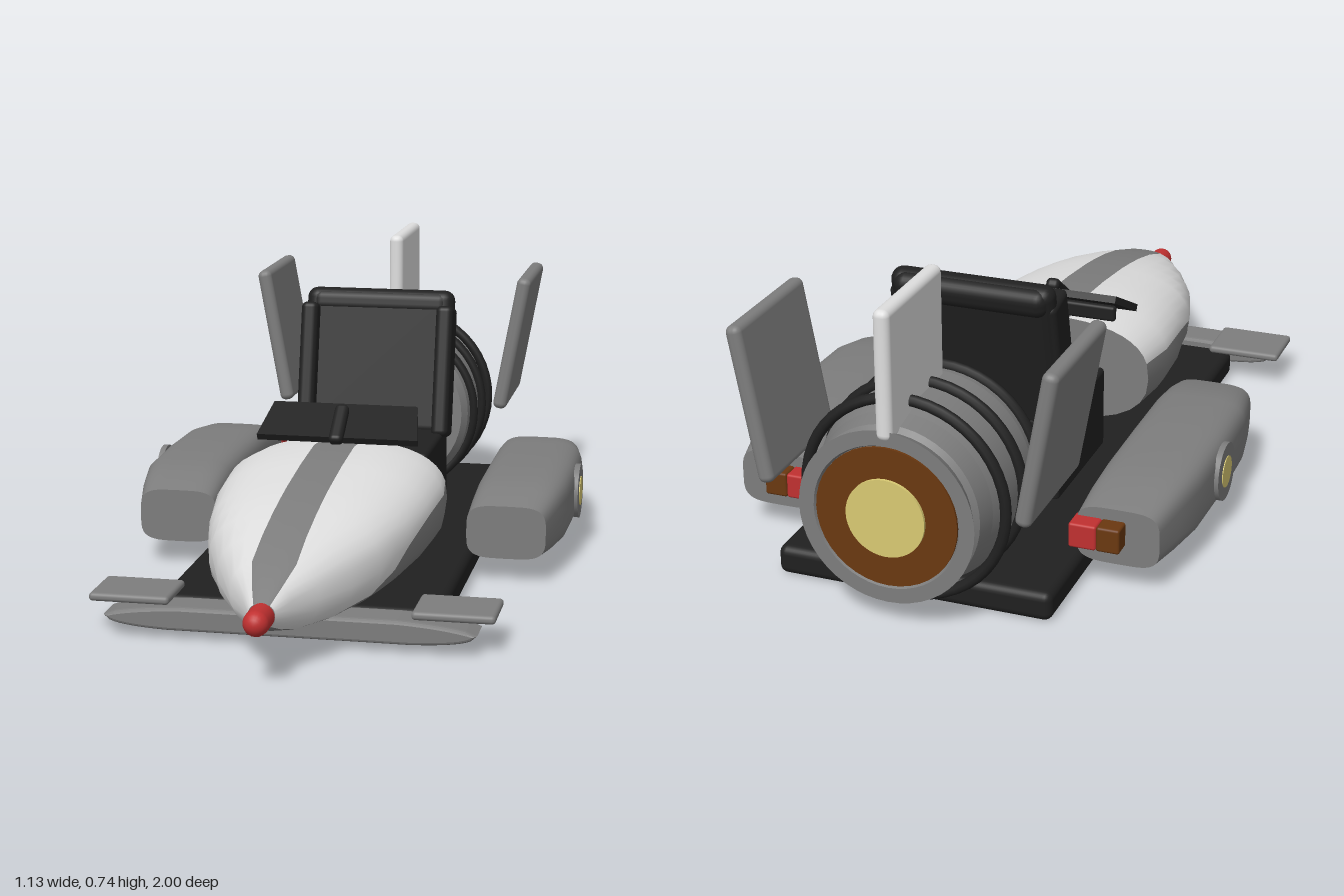
import * as THREE from 'three';
import { RoundedBoxGeometry } from 'three/addons/geometries/RoundedBoxGeometry.js';

const mat = (name, color, side = THREE.FrontSide) => {
  const m = new THREE.MeshStandardMaterial({ color, side });
  m.name = name;
  return m;
};

// Point on a superellipse: 2 is round, higher is boxier
function superPoint(cx, cy, hx, hy, n, a) {
  const p = (v) => Math.sign(v) * Math.abs(v) ** (2 / n);
  return [cx + hx * p(Math.cos(a)), cy + hy * p(Math.sin(a))];
}

// Skin over closed rings, front to back, with flat caps and one group per column
function loft(rings, columnMaterial = () => 0) {
  const pos = [], idx = [], n = rings[0].length;
  const geo = new THREE.BufferGeometry();
  rings.forEach((r) => r.forEach((p) => pos.push(...p)));
  for (let j = 0; j < n; j++) {
    const k = (j + 1) % n, start = idx.length;
    for (let i = 0; i < rings.length - 1; i++) {
      const a = i * n, b = a + n;
      idx.push(a + j, b + j, a + k, a + k, b + j, b + k);
    }
    geo.addGroup(start, idx.length - start, columnMaterial(j));
  }
  const capStart = idx.length;
  [rings[0], rings[rings.length - 1]].forEach((ring, back) => {
    const base = pos.length / 3;
    ring.forEach((p) => pos.push(...p));
    for (let j = 1; j < n - 1; j++) {
      if (back) idx.push(base, base + j + 1, base + j);
      else idx.push(base, base + j, base + j + 1);
    }
  });
  geo.addGroup(capStart, idx.length - capStart, 0);
  geo.setAttribute('position', new THREE.Float32BufferAttribute(pos, 3));
  geo.setIndex(idx);
  geo.computeVertexNormals();
  return geo;
}

export function createModel() {
  const model = new THREE.Group();
  const white = mat('white', 0xdedede), grey = mat('grey', 0x7d7d7d);
  const black = mat('black', 0x202020), red = mat('red', 0xc03030);
  const cream = mat('cream', 0xd8c972), brown = mat('brown', 0x6a3810);

  const add = (name, geo, material, x = 0, y = 0, z = 0, parent = model) => {
    const m = new THREE.Mesh(geo, material);
    m.name = name;
    m.position.set(x, y, z);
    parent.add(m);
    return m;
  };
  const box = (name, material, w, h, d, x, y, z, r = 0.01, parent = model) =>
    add(name, new RoundedBoxGeometry(w, h, d, 3, r), material, x, y, z, parent);
  const cylZ = (r1, r2, len, seg = 40) => new THREE.CylinderGeometry(r1, r2, len, seg).rotateX(Math.PI / 2);

  // Floor
  box('floor', black, 0.66, 0.07, 1.44, 0, 0.037, -0.15, 0.02);

  // Nose: z, half width, bottom, top, height of paint line
  const noseRows = [
    [0.92, 0.03, 0.12, 0.175, 0.125], [0.87, 0.055, 0.10, 0.205, 0.105],
    [0.8, 0.10, 0.08, 0.237, 0.085], [0.7, 0.155, 0.066, 0.267, 0.085],
    [0.6, 0.20, 0.062, 0.29, 0.11], [0.525, 0.222, 0.06, 0.304, 0.15],
    [0.45, 0.24, 0.06, 0.316, 0.19], [0.3, 0.265, 0.06, 0.334, 0.225],
    [0.15, 0.275, 0.06, 0.346, 0.235], [0.03, 0.262, 0.065, 0.336, 0.24],
  ];
  const N = 2.5, S = 8;
  const noseRings = noseRows.map(([z, hx, y0, y1, line]) => {
    const cy = (y0 + y1) / 2, hy = (y1 - y0) / 2, t = (line - cy) / hy;
    const low = Math.asin(Math.sign(t) * Math.abs(t) ** (N / 2));
    const high = Math.acos(Math.min(0.05 / hx, 0.6) ** (N / 2));
    const stops = [-Math.PI / 2, low, high, Math.PI / 2];
    const half = [];
    for (let s = 0; s < 3; s++)
      for (let i = 0; i < S; i++) half.push(stops[s] + (stops[s + 1] - stops[s]) * i / S);
    half.push(Math.PI / 2);
    const angles = [...half, ...half.slice(1, -1).reverse().map((a) => Math.PI - a)];
    return angles.map((a) => [...superPoint(0, cy, hx, hy, N, a), z]);
  });
  const noseColumn = (j) => {
    const s = Math.floor((j < 3 * S ? j : 6 * S - 1 - j) / S);
    return s === 1 ? 1 : 0;
  };
  add('nose', loft(noseRings, noseColumn), [grey, white]);
  const tip = new THREE.CapsuleGeometry(0.029, 0.06, 6, 20).rotateX(Math.PI / 2);
  add('noseTip', tip, red, 0, 0.148, 0.941);

  // Front wing, a flat lens with bevelled edge
  const wing = new THREE.Shape();
  wing.moveTo(-0.42, 0.05);
  wing.quadraticCurveTo(-0.4, 0.034, -0.28, 0.03);
  wing.lineTo(0.28, 0.03);
  wing.quadraticCurveTo(0.4, 0.034, 0.42, 0.05);
  wing.quadraticCurveTo(0.36, 0.065, 0.25, 0.07);
  wing.lineTo(-0.25, 0.07);
  wing.quadraticCurveTo(-0.36, 0.065, -0.42, 0.05);
  add('frontWing', new THREE.ExtrudeGeometry(wing, {
    depth: 0.07, bevelThickness: 0.012, bevelSize: 0.008, bevelSegments: 3, curveSegments: 8,
  }), grey, 0, 0, 0.6);

  // Dashboard with centre handle
  const dash = add('dashboard', new THREE.CylinderGeometry(1, 1, 1, 4, 1).rotateY(Math.PI / 4)
    .scale(0.285, 0.018, 0.09), black, 0, 0.382, 0.06);
  const dp = dash.geometry.attributes.position;
  for (let i = 0; i < dp.count; i++) if (dp.getZ(i) < 0) dp.setX(i, dp.getX(i) * 0.9);
  dash.geometry = dash.geometry.toNonIndexed();
  dash.geometry.computeVertexNormals();
  dash.rotation.x = 0.5;
  const handle = box('dashboardHandle', black, 0.035, 0.03, 0.12, 0, 0.385, 0.09, 0.012);
  handle.rotation.x = 0.62;
  box('dashboardLip', black, 0.36, 0.04, 0.02, 0, 0.372, 0.012, 0.008);

  // Seat
  box('seatCushion', black, 0.38, 0.21, 0.34, 0, 0.17, -0.265, 0.012);
  const backrest = new THREE.Group();
  backrest.name = 'backrest';
  backrest.position.set(0, 0.25, -0.4);
  backrest.rotation.x = -0.23;
  model.add(backrest);
  box('backrestPanel', black, 0.4, 0.39, 0.06, 0, 0.197, 0, 0.028, backrest);
  box('headrest', black, 0.38, 0.07, 0.075, 0, 0.355, -0.005, 0.03, backrest);
  for (const s of [1, -1]) box('seatBolster', black, 0.045, 0.345, 0.095, s * 0.182, 0.175, 0.025, 0.015, backrest);

  // Engine, turned around its long axis; profile is radius, distance to the rear
  const EY = 0.265;
  const profile = [[0, 0.62], [0.2, 0.62], [0.215, 0.64], [0.225, 0.7], [0.225, 0.85], [0.21, 0.9],
    [0.2, 0.95], [0.188, 0.96], [0.205, 0.995], [0.17, 0.995], [0.165, 0.985], [0, 0.985]];
  const points = [];
  profile.forEach(([r, d]) => { // doubled points keep the steps crisp
    points.push(new THREE.Vector2(r, d), new THREE.Vector2(r, d));
  });
  const engineGeo = new THREE.LatheGeometry(points, 48).rotateX(-Math.PI / 2);
  const engineGrey = mat('grey', 0x7d7d7d, THREE.DoubleSide);
  add('engine', engineGeo, engineGrey, 0, EY, 0);
  [[0.67, 0.226], [0.78, 0.233], [0.89, 0.236]].forEach(([d, r]) =>
    add('engineBand', new THREE.TorusGeometry(r, 0.013, 10, 48), black, 0, EY, -d));
  add('exhaustRing', cylZ(0.165, 0.165, 0.006), brown, 0, EY, -0.99);
  add('exhaustGlow', cylZ(0.092, 0.092, 0.008), cream, 0, EY, -0.996);

  // Top fin
  box('topFin', white, 0.038, 0.3, 0.3, 0, 0.595, -0.85, 0.016);

  // Paired parts
  const podRows = [ // z, outer x, bottom, top
    [0.08, 0.515, 0.062, 0.195], [0.0, 0.533, 0.057, 0.218], [-0.1, 0.55, 0.054, 0.234],
    [-0.28, 0.554, 0.053, 0.236], [-0.47, 0.55, 0.054, 0.234], [-0.58, 0.533, 0.058, 0.222],
    [-0.67, 0.515, 0.064, 0.2],
  ];
  for (const s of [1, -1]) {
    const podRings = podRows.map(([z, out, y0, y1]) => {
      const ring = [];
      for (let i = 0; i < 40; i++) {
        const a = i / 40 * Math.PI * 2;
        ring.push([...superPoint(s * (out + 0.318) / 2, (y0 + y1) / 2, (out - 0.318) / 2, (y1 - y0) / 2, 4, a), z]);
      }
      return ring;
    });
    add('sidePod', loft(podRings), grey);
    const disc = (r, w) => new THREE.CylinderGeometry(r, r, w, 32).rotateZ(Math.PI / 2);
    add('sideLightRim', disc(0.07, 0.014), grey, s * 0.555, 0.148, -0.3);
    add('sideLight', disc(0.038, 0.006), cream, s * 0.561, 0.148, -0.3);
    box('winglet', grey, 0.19, 0.02, 0.15, s * 0.375, 0.086, 0.59, 0.009);
    const fin = box('sideFin', grey, 0.038, 0.37, 0.325, s * 0.332, 0.462, -0.807, 0.016);
    fin.rotation.z = -s * 0.18;
    box('tailLightOuter', brown, 0.055, 0.06, 0.06, s * 0.407, 0.142, -0.685, 0.006);
    box('tailLightInner', red, 0.065, 0.06, 0.06, s * 0.347, 0.142, -0.685, 0.006);
  }
  return model;
}
